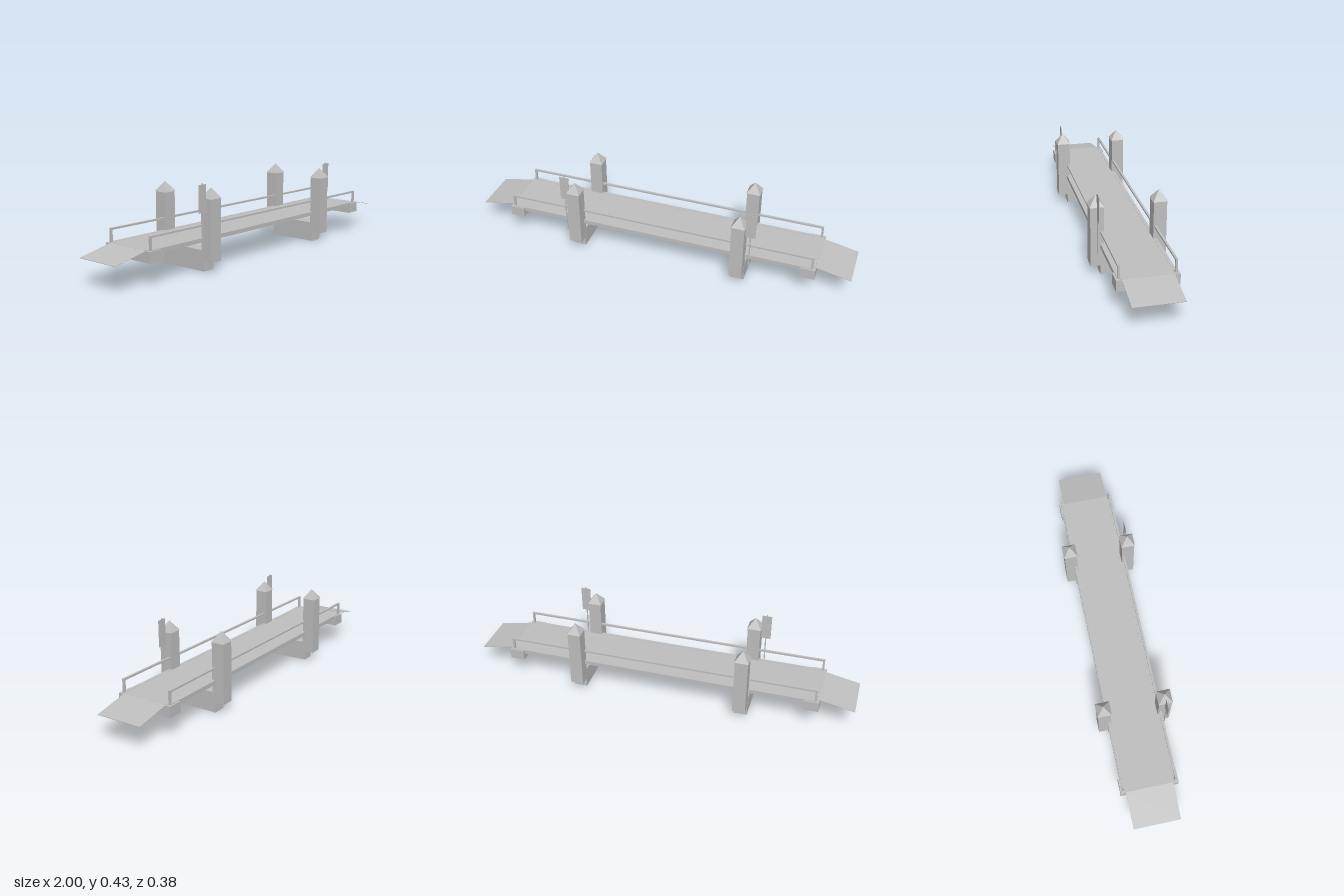
import * as THREE from 'three';

export function createModel() {
  const model = new THREE.Group();
  model.name = 'bridge';
  const concrete = new THREE.MeshStandardMaterial({ color: 0xbfbfbf });
  concrete.name = 'concrete grey';

  const add = (name, geometry, x, y, z) => {
    const mesh = new THREE.Mesh(geometry, concrete);
    mesh.name = name;
    mesh.position.set(x, y, z);
    model.add(mesh);
    return mesh;
  };
  // Box given by its extents along each axis
  const box = (name, x0, x1, y0, y1, z0, z1) =>
    add(name, new THREE.BoxGeometry(x1 - x0, y1 - y0, z1 - z0),
      (x0 + x1) / 2, (y0 + y1) / 2, (z0 + z1) / 2);

  // Pyramid cap with flat faces
  const roof = new THREE.ConeGeometry(0.036 * Math.SQRT2, 0.051, 4).rotateY(Math.PI / 4).toNonIndexed();
  roof.computeVertexNormals();

  // Road deck
  box('deck', -0.82, 0.82, 0.161, 0.166, -0.122, 0.122);

  // Girders and railings along both sides
  for (const s of [-1, 1]) {
    const side = (name, x0, x1, y0, y1, a, b) =>
      box(name, x0, x1, y0, y1, Math.min(s * a, s * b), Math.max(s * a, s * b));
    side('sideGirder', -0.81, 0.81, 0.146, 0.167, 0.122, 0.138);
    side('innerStringer', -0.81, 0.81, 0.146, 0.162, 0.097, 0.107);
    side('handrail', -0.81, 0.81, 0.222, 0.231, 0.126, 0.137);
    for (const e of [-1, 1]) {
      box('railPost', e * 0.805 - 0.005, e * 0.805 + 0.005, 0.16, 0.23, s * 0.1315 - 0.0055, s * 0.1315 + 0.0055);
    }
  }

  for (const e of [-1, 1]) {
    // Pier, abutment and sloping approach at each end
    const px = e * 0.435;
    box('pier', px - 0.034, px + 0.034, 0.002, 0.105, -0.137, 0.137);
    box('abutment', e * 0.787 - 0.038, e * 0.787 + 0.038, 0.11, 0.164, -0.147, 0.147);
    const run = 0.18, drop = 0.037;
    const ramp = add('approachRamp', new THREE.BoxGeometry(Math.hypot(run, drop), 0.002, 0.24),
      e * 0.91, 0.146, 0);
    ramp.rotation.z = -e * Math.atan2(drop, run);

    // Pair of towers
    for (const s of [-1, 1]) {
      box('tower', px - 0.033, px + 0.033, 0.051, 0.355, s * 0.153 - 0.0325, s * 0.153 + 0.0325);
      add('towerRoof', roof, px, 0.38, s * 0.153);
    }

    // Sign board on a thin pole
    const sx = e * 0.493;
    box('signPole', sx - 0.003, sx + 0.003, 0.098, 0.431, 0.151, 0.155);
    box('signBoard', sx - 0.025, sx + 0.025, 0.291, 0.425, 0.152, 0.154);
  }

  // Slight fall towards the left end
  const tilted = new THREE.Group();
  tilted.name = 'bridgeModel';
  model.rotation.z = -0.003;
  tilted.add(model);
  return tilted;
}
